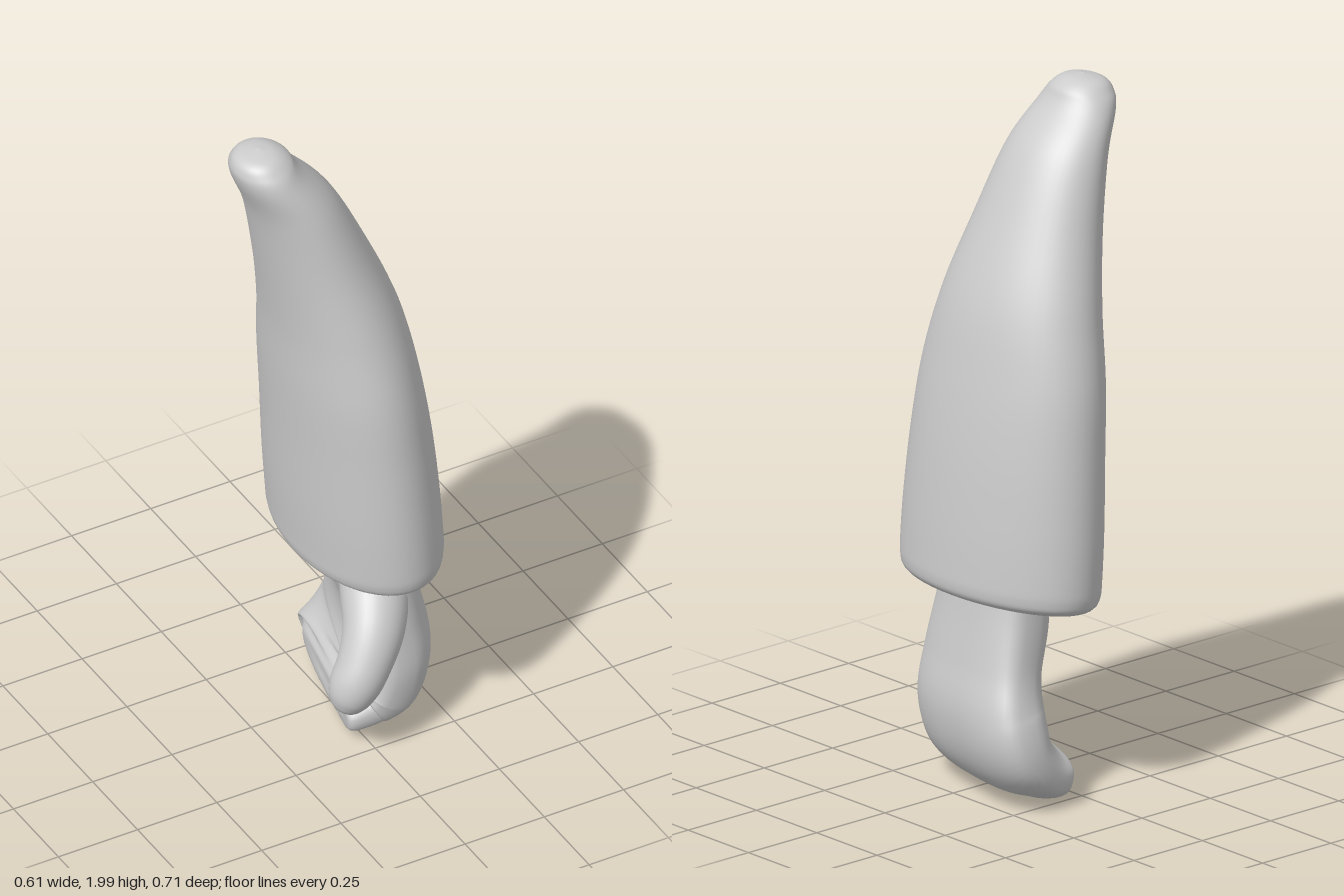
import * as THREE from 'three';

// Catmull-Rom interpolation of one row of numbers out of a station table
function sample(rows, t) {
  const f = t * (rows.length - 1);
  const i = Math.min(Math.floor(f), rows.length - 2);
  const at = k => rows[Math.max(0, Math.min(rows.length - 1, k))];
  return rows[i].map((_, c) => THREE.MathUtils.clamp(
    catmull(at(i - 1)[c], at(i)[c], at(i + 1)[c], at(i + 2)[c], f - i), -3, 3));
}

function catmull(a, b, c, d, u) {
  const m0 = (c - a) / 2, m1 = (d - b) / 2;
  return b + u * (m0 + u * (3 * (c - b) - 2 * m0 - m1 + u * (2 * (b - c) + m0 + m1)));
}

// Smooth closed loft through stations [x, y, z, halfThickness, halfWidth].
// power: 2 gives ellipses, higher gives boxier rings. axis: fixed ring normal.
function loft(rows, { sides = 48, steps = 60, power = 2, axis = null, shear = 0 } = {}) {
  const pos = [], index = [];
  const rounded = v => Math.sign(v) * Math.abs(v) ** (2 / power);
  for (let i = 0; i <= steps; i++) {
    const t = i / steps;
    const [x, y, z, a, b] = sample(rows, t);
    const p0 = sample(rows, Math.max(0, t - 0.02));
    const p1 = sample(rows, Math.min(1, t + 0.02));
    const T = axis ? axis.clone()
      : new THREE.Vector3(p1[0] - p0[0], p1[1] - p0[1], p1[2] - p0[2]);
    T.normalize();
    const V = new THREE.Vector3(0, 0, 1).addScaledVector(T, -T.z).normalize();
    const U = V.clone().cross(T);
    for (let j = 0; j < sides; j++) {
      const q = j / sides * Math.PI * 2;
      const p = new THREE.Vector3(x, y, z)
        .addScaledVector(U, rounded(Math.cos(q)) * Math.max(a, 0.001))
        .addScaledVector(V, rounded(Math.sin(q)) * Math.max(b, 0.001));
      pos.push(p.x + shear * p.z, p.y, p.z);
      if (i < steps) {
        const k = i * sides, n = (j + 1) % sides;
        index.push(k + j, k + n, k + sides + n, k + j, k + sides + n, k + sides + j);
      }
    }
  }
  const g = new THREE.BufferGeometry();
  g.setAttribute('position', new THREE.Float32BufferAttribute(pos, 3));
  g.setIndex(index);
  g.computeVertexNormals();
  return g;
}

export function createModel() {
  const group = new THREE.Group();
  const material = new THREE.MeshStandardMaterial({ color: 0xcccccc, roughness: 0.8 });
  const add = (name, geometry) => {
    const mesh = new THREE.Mesh(geometry, material);
    mesh.name = name;
    group.add(mesh);
  };

  // Curved sleeve, from the shoulder tip down to the closed cuff
  add('sleeve', loft([
    [-0.225, 2.0, 0, 0.001, 0.001],
    [-0.23, 1.99, 0, 0.05, 0.06],
    [-0.222, 1.965, 0, 0.08, 0.093],
    [-0.205, 1.92, 0, 0.092, 0.122],
    [-0.13, 1.8, 0, 0.12, 0.163],
    [-0.06, 1.6, 0, 0.15, 0.21],
    [-0.005, 1.4, 0, 0.175, 0.265],
    [0.025, 1.2, 0, 0.19, 0.313],
    [0.048, 1.0, 0, 0.198, 0.335],
    [0.064, 0.8, 0, 0.202, 0.349],
    [0.074, 0.66, 0, 0.201, 0.353],
    [0.077, 0.61, 0, 0.199, 0.35],
    [0.079, 0.585, 0, 0.189, 0.338],
    [0.08, 0.573, 0, 0.165, 0.305],
    [0.08, 0.575, 0, 0.1, 0.2],
    [0.08, 0.58, 0, 0.001, 0.001],
  ], { steps: 105, axis: new THREE.Vector3(0.09, -1, 0) }));

  // Mitten: wrist, palm and the curled block of fingers
  add('hand', loft([
    [0.09, 0.64, 0, 0.11, 0.21],
    [0.105, 0.52, 0, 0.115, 0.225],
    [0.14, 0.38, 0, 0.11, 0.245],
    [0.155, 0.26, -0.01, 0.12, 0.27],
    [0.13, 0.16, -0.03, 0.12, 0.28],
    [0.07, 0.105, -0.035, 0.09, 0.27],
    [0.02, 0.085, -0.03, 0.07, 0.25],
    [-0.01, 0.08, -0.03, 0.045, 0.2],
    [-0.02, 0.08, -0.03, 0.001, 0.001],
  ], { steps: 64, power: 2.7, shear: -0.22 }));

  // Thumb, angled forward and down with a rounded tip
  add('thumb', loft([
    [0.09, 0.56, 0.07, 0.09, 0.09],
    [0.06, 0.48, 0.14, 0.098, 0.095],
    [0.015, 0.4, 0.215, 0.088, 0.085],
    [-0.035, 0.32, 0.25, 0.076, 0.077],
    [-0.07, 0.26, 0.255, 0.07, 0.072],
    [-0.09, 0.215, 0.25, 0.053, 0.056],
    [-0.1, 0.192, 0.246, 0.03, 0.032],
    [-0.104, 0.182, 0.244, 0.001, 0.001],
  ], { sides: 32, steps: 56 }));

  return group;
}
